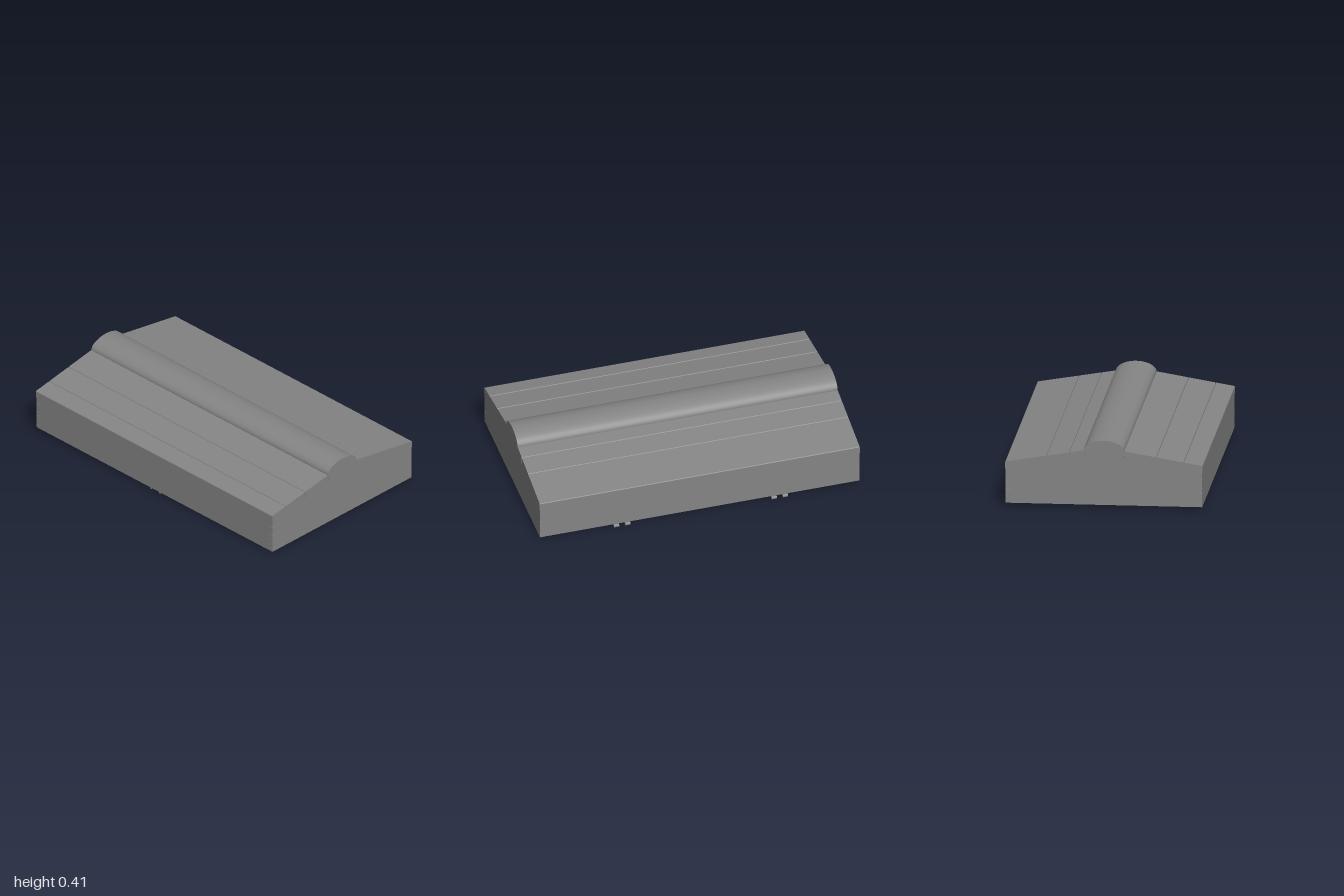
import * as THREE from 'three';
import { toCreasedNormals } from 'three/addons/utils/BufferGeometryUtils.js';

const material = new THREE.MeshStandardMaterial({ color: 0x858585 });
const FRONT = 0.605, BACK = -0.585, MID = 0.01, BASE = 0.018, WALL = 0.03;
const INSET = 0.002; // walls sit just inside the plank edges
const JOINTS = [[0.04, 0.105], [0.13, 0.19]]; // finger joint heights

// Underside height of the sloping planks at depth z
const slope = (z) => 0.228 + 0.08 * Math.min(1, (0.595 - Math.abs(z - MID)) / 0.475);

function add(group, geometry, name) {
  const mesh = new THREE.Mesh(geometry, material);
  mesh.name = name;
  group.add(mesh);
}

const toShape = (points) => new THREE.Shape(points.map(([a, b]) => new THREE.Vector2(a, b)));

// Extrude a [z, y] profile along x, centred on x = at
function alongX(points, width, at = 0) {
  const g = new THREE.ExtrudeGeometry(toShape(points.map(([z, y]) => [-z, y])),
    { depth: width, bevelEnabled: false });
  return g.translate(0, 0, -width / 2).rotateY(Math.PI / 2).translate(at, 0, 0);
}

// Edge points going up one corner; depth < 0 cuts notches, depth > 0 adds fingers
function jointEdge(edge, dir, depth, gap) {
  return JOINTS.flatMap(([lo, hi]) => [
    [edge, lo + gap], [edge + dir * depth, lo + gap],
    [edge + dir * depth, hi - gap], [edge, hi - gap]]);
}

export function createModel() {
  const model = new THREE.Group();
  model.name = 'chestLid';
  const front = FRONT - INSET, back = BACK + INSET, side = 1 - INSET;

  // End walls, notched at the corners
  const endProfile = [
    [front, BASE], ...jointEdge(front, 1, -WALL, 0), [front, slope(front)],
    [MID + 0.12, slope(MID + 0.12)], [MID - 0.12, slope(MID - 0.12)],
    [back, slope(back)], ...jointEdge(back, -1, -WALL, 0).reverse(), [back, BASE]];
  for (const s of [-1, 1]) {
    add(model, alongX(endProfile, WALL, s * (side - WALL / 2)), s > 0 ? 'leftWall' : 'rightWall');
  }

  // Front and back walls, with fingers filling the notches
  const inner = side - WALL;
  const longProfile = [
    [-inner, BASE], [inner, BASE], ...jointEdge(inner, 1, WALL, 0.002),
    [inner, 0.228], [-inner, 0.228],
    ...jointEdge(-inner, -1, WALL, 0.002).reverse()];
  for (const [name, z] of [['frontWall', front - WALL], ['backWall', back]]) {
    const g = new THREE.ExtrudeGeometry(toShape(longProfile), { depth: WALL, bevelEnabled: false });
    add(model, g.translate(0, 0, z), name);
  }

  // Sloping roof planks with softened top edges
  const seams = { front: [FRONT, 0.49, 0.325, 0.13], back: [BACK, -0.336, -0.2, -0.11] };
  for (const [name, zs] of Object.entries(seams)) {
    const dir = Math.sign(zs[1] - zs[0]);
    for (let i = 0; i < 3; i++) {
      const z0 = zs[i] + (i ? dir * 0.0007 : 0), z1 = zs[i + 1] - dir * 0.0007;
      const c = 0.003, h = 0.045;
      const at = (z, up) => [z, slope(z) + up];
      add(model, alongX([
        at(z0, 0), at(z1, 0), at(z1, h - c), at(z1 - dir * c, h),
        at(z0 + dir * c, h), at(z0, h - c)], 2), `${name}Plank${i + 1}`);
    }
  }

  // Rounded ridge beam: a small rolled lip on each side below a smooth dome
  const half = [[0.117, 0.308], [0.115, 0.318], [0.122, 0.325], [0.116, 0.335], [0.121, 0.342]];
  const ridge = half.map(([d, y]) => [MID + d, y]);
  for (let i = 0; i <= 32; i++) {
    const a = (i / 32) * Math.PI;
    ridge.push([MID + 0.123 * Math.cos(a), 0.35 + 0.065 * Math.sin(a)]);
  }
  ridge.push(...half.map(([d, y]) => [MID - d, y]).reverse());
  add(model, toCreasedNormals(alongX(ridge, 2), 0.5), 'ridgeBeam');

  // Paired hinge knuckles along the back edge
  for (const x of [-0.53, -0.46, 0.455, 0.525]) {
    const g = new THREE.CylinderGeometry(0.011, 0.011, 0.032, 16).rotateZ(Math.PI / 2);
    add(model, g.translate(x, 0.018, BACK - 0.013), 'hingeKnuckle');
  }

  // Small latch lugs under the front edge
  for (const x of [-0.04, 0.035]) {
    const g = new THREE.BoxGeometry(0.008, 0.03, 0.02);
    add(model, g.translate(x, 0.015, FRONT - 0.022), 'latchLug');
  }
  return model;
}
